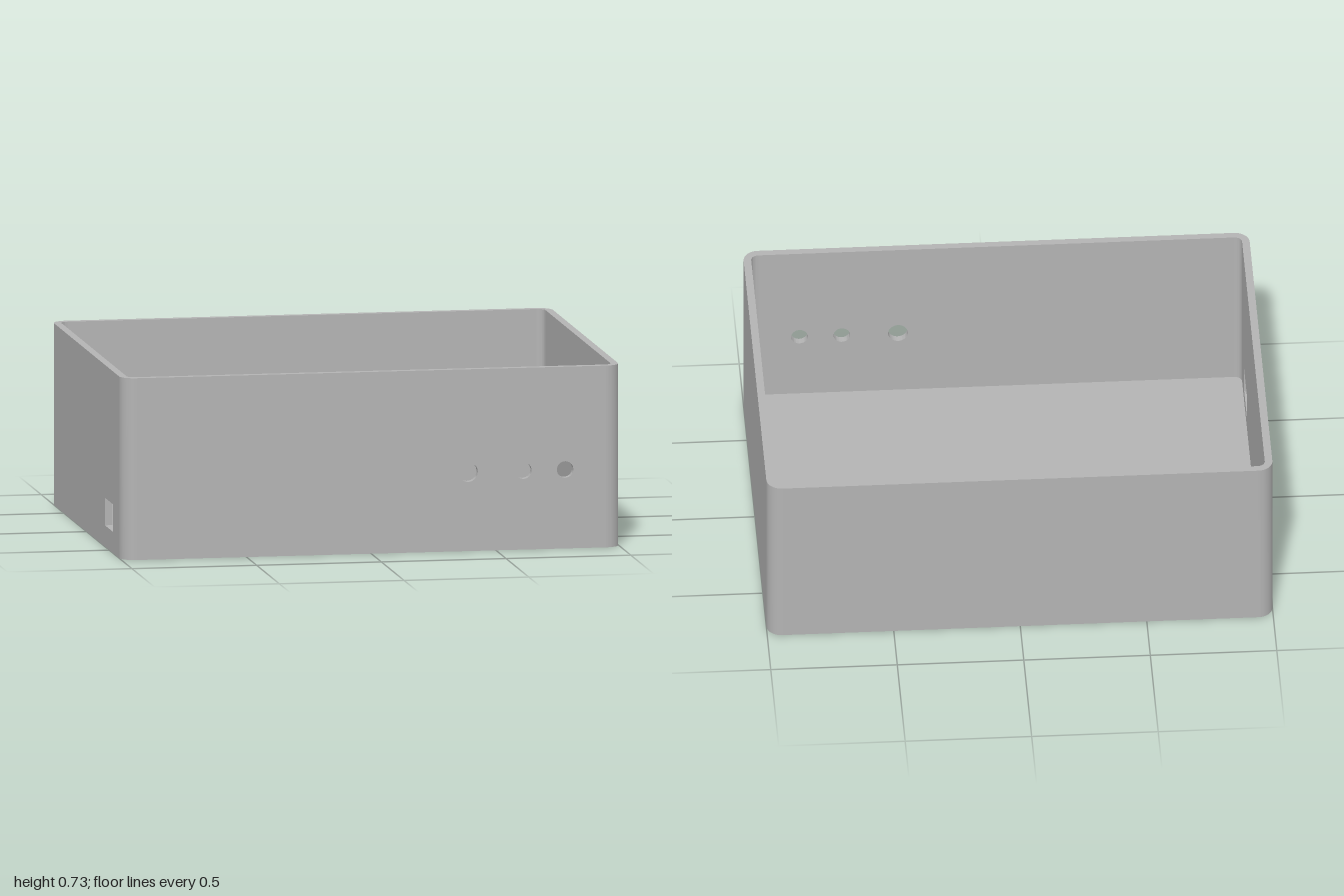
import * as THREE from 'three';
import { toCreasedNormals } from 'three/addons/utils/BufferGeometryUtils.js';

const W = 1, D = 0.778, H = 0.725; // half width, half depth, height
const WALL = 0.03, FLOOR = 0.035, R = 0.06; // wall, floor, outer corner radius

const grey = new THREE.MeshStandardMaterial({ color: 0xb3b3b3 });
grey.name = 'grey plastic';

function addMesh(group, name, geometry) {
  const mesh = new THREE.Mesh(toCreasedNormals(geometry, 0.7), grey);
  mesh.name = name;
  group.add(mesh);
  return mesh;
}

function roundHole(x, y, r) {
  return new THREE.Path().absarc(x, y, r, 0, Math.PI * 2, true);
}

function rectPoints(x0, y0, x1, y1) {
  return [[x0, y0], [x1, y0], [x1, y1], [x0, y1]].map(([x, y]) => new THREE.Vector2(x, y));
}

// Straight wall panel facing outwards, turned about y
function wallGeometry(halfLength, distance, angle, holes = []) {
  const shape = new THREE.Shape(rectPoints(-halfLength, 0, halfLength, H));
  shape.holes.push(...holes);
  const g = new THREE.ExtrudeGeometry(shape, { depth: WALL, bevelEnabled: false, curveSegments: 24 });
  return g.translate(0, 0, distance - WALL).rotateY(angle);
}

export function createModel() {
  const box = new THREE.Group();
  box.name = 'openBox';

  // Walls: three round holes in front, a connector slot in the right side
  const buttonHoles = [[0.388, 0.039], [0.61, 0.033], [0.777, 0.033]]
    .map(([x, r]) => roundHole(x, 0.315, r));
  const slot = new THREE.Path(rectPoints(0.405, 0.085, 0.585, 0.195).reverse());
  addMesh(box, 'frontWall', wallGeometry(W - R, D, 0, buttonHoles));
  addMesh(box, 'leftWall', wallGeometry(D - R, W, Math.PI / 2));
  addMesh(box, 'backWall', wallGeometry(W - R, D, Math.PI));
  addMesh(box, 'rightWall', wallGeometry(D - R, W, -Math.PI / 2, [slot]));

  // Rounded corner posts joining the walls
  const profile = [[R - WALL, 0], [R, 0], [R, H], [R - WALL, H], [R - WALL, 0]]
    .map(([x, y]) => new THREE.Vector2(x, y));
  [[1, 1], [1, -1], [-1, -1], [-1, 1]].forEach(([sx, sz], i) => {
    const g = new THREE.LatheGeometry(profile, 14, i * Math.PI / 2, Math.PI / 2);
    addMesh(box, 'corner', g).position.set(sx * (W - R), 0, sz * (D - R));
  });

  // Floor fitted inside the walls
  const r = R - WALL, x = W - R, z = D - R;
  const outline = new THREE.Shape();
  [[x, z], [-x, z], [-x, -z], [x, -z]].forEach(([cx, cz], i) =>
    outline.absarc(cx, cz, r, i * Math.PI / 2, (i + 1) * Math.PI / 2, false));
  outline.closePath();
  const floor = new THREE.ExtrudeGeometry(outline, { depth: FLOOR, bevelEnabled: false, curveSegments: 14 });
  addMesh(box, 'floor', floor.rotateX(-Math.PI / 2));

  return box;
}
